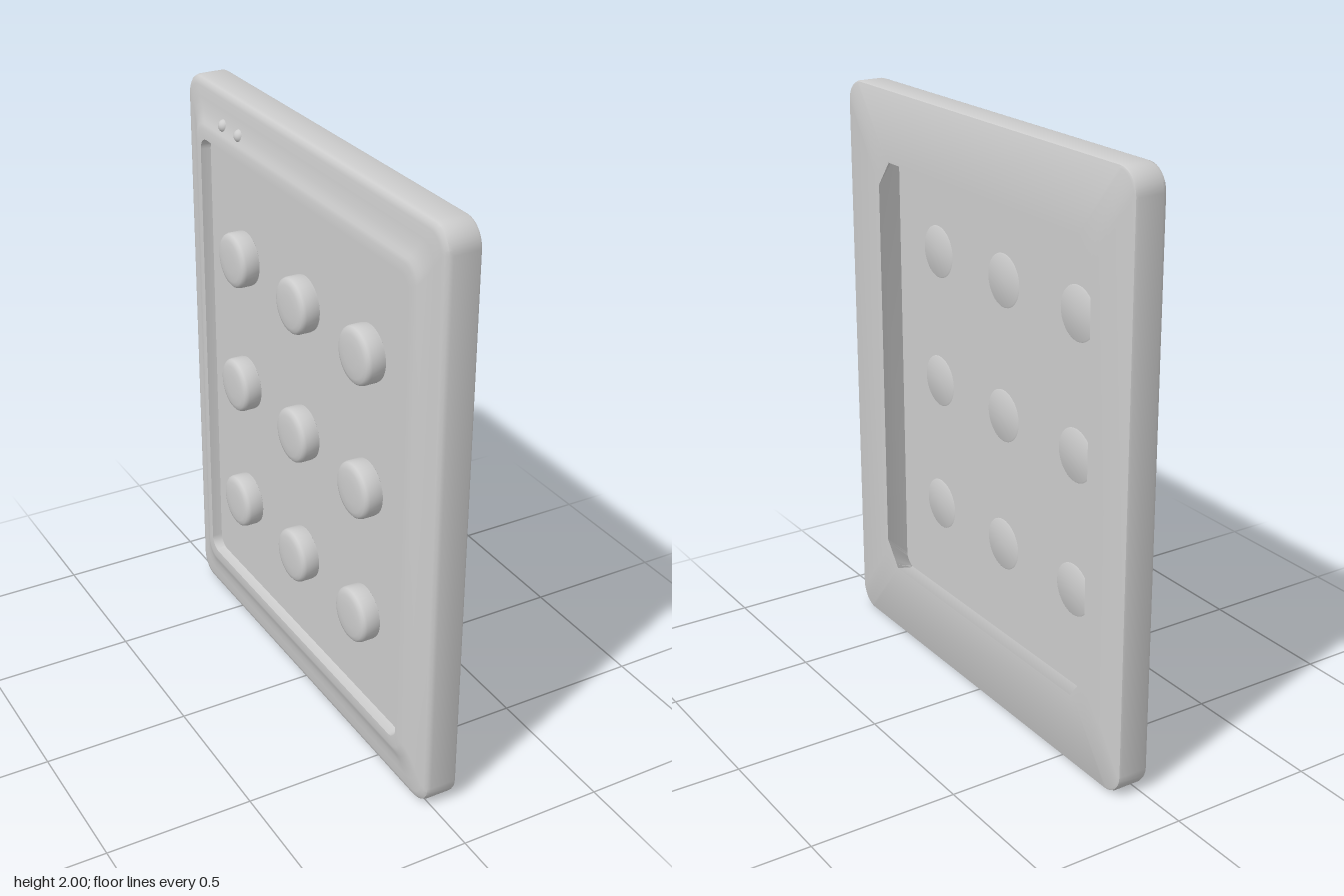
import * as THREE from 'three';
import { toCreasedNormals } from 'three/addons/utils/BufferGeometryUtils.js';

const SEG = 8; // steps per corner
const CY = 1;  // height of the panel centre

// Closed outline in the YZ plane: rounded, or chamfered when cut is true
function ring({ x, hz, hy, rz, ry = rz, cut = false }) {
  const pts = [];
  for (let q = 0; q < 4; q++) {
    const sz = q === 0 || q === 3 ? 1 : -1;
    const sy = q < 2 ? 1 : -1;
    for (let i = 0; i <= SEG; i++) {
      const k = q % 2 === 0 ? i / SEG : 1 - i / SEG;
      const a = k * Math.PI / 2;
      const cz = cut ? 1 - k : Math.cos(a);
      const cy = cut ? k : Math.sin(a);
      pts.push([x, CY + sy * (hy - ry + ry * cy), sz * (hz - rz + rz * cz)]);
    }
  }
  return pts;
}

// Skin between successive outlines
function loft(rings, crease) {
  const pos = [], idx = [], n = rings[0].length;
  rings.forEach(r => r.forEach(p => pos.push(...p)));
  for (let j = 0; j < rings.length - 1; j++) {
    for (let i = 0; i < n; i++) {
      const a = j * n + i, b = j * n + (i + 1) % n;
      idx.push(a, b, b + n, a, b + n, a + n);
    }
  }
  const g = new THREE.BufferGeometry();
  g.setAttribute('position', new THREE.Float32BufferAttribute(pos, 3));
  g.setIndex(idx);
  return toCreasedNormals(g, crease);
}

export function createModel() {
  const model = new THREE.Group();
  const grey = new THREE.MeshStandardMaterial({ color: 0xcccccc });
  const thin = new THREE.MeshStandardMaterial({ color: 0xcccccc, side: THREE.DoubleSide });
  const add = (name, geometry, material = grey) => {
    const mesh = new THREE.Mesh(geometry, material);
    mesh.name = name;
    model.add(mesh);
    return mesh;
  };

  // Frame: from the chamfered rear window round the outside to the raised rim and back inside
  const rearWindow = ring({ x: 0.087, hz: 0.612, hy: 0.755, rz: 0.07, ry: 0.09, cut: true });
  // x, half width, half height, corner radius
  const profile = [
    [0.087, 0.8, 0.99, 0.07],
    [0.084, 0.807, 0.997, 0.077],
    [0.077, 0.81, 1.0, 0.08],
    [-0.008, 0.81, 1.0, 0.08],
    [-0.02, 0.806, 0.996, 0.076],
    [-0.028, 0.796, 0.986, 0.068],
    [-0.031, 0.782, 0.972, 0.06],
    [-0.034, 0.755, 0.935, 0.06],
    [-0.039, 0.732, 0.9, 0.06],
    [-0.047, 0.712, 0.872, 0.06],
    [-0.053, 0.702, 0.86, 0.06],
    [-0.057, 0.688, 0.846, 0.055],
    [-0.057, 0.662, 0.812, 0.045],
    [-0.021, 0.66, 0.81, 0.045],
  ];
  const rings = profile.map(([x, hz, hy, rz]) => ring({ x, hz, hy, rz }));
  add('frame', loft([rearWindow, ...rings, rearWindow], 0.6), thin);

  // Recessed plate across the opening
  const edge = { hz: 0.66, hy: 0.81, rz: 0.045 };
  add('plate', loft([
    ring({ x: -0.021, ...edge }),
    ring({ x: -0.021, hz: 0, hy: 0, rz: 0 }),
  ], 0.5), thin);

  // Nine round buttons with softened edges
  const buttonProfile = [
    [0, 0.0185], [0.086, 0.0185], [0.092, 0.022], [0.094, 0.03], [0.094, 0.068],
    [0.091, 0.077], [0.084, 0.083], [0.07, 0.087], [0.04, 0.089], [0, 0.09],
  ].map(([r, h]) => new THREE.Vector2(r, h));
  const buttonGeometry = toCreasedNormals(new THREE.LatheGeometry(buttonProfile, 40), 0.7);
  for (const y of [0.53, 0.997, 1.462]) {
    for (const z of [-0.402, 0.006, 0.406]) {
      const button = add('button', buttonGeometry);
      button.rotation.z = Math.PI / 2;
      button.position.set(0, y, z);
    }
  }

  // Two small indicator lamps on the upper border
  const lampGeometry = new THREE.SphereGeometry(0.022, 20, 14);
  for (const z of [-0.52, -0.408]) {
    add('indicatorLamp', lampGeometry).position.set(-0.035, 1.888, z);
  }
  return model;
}
